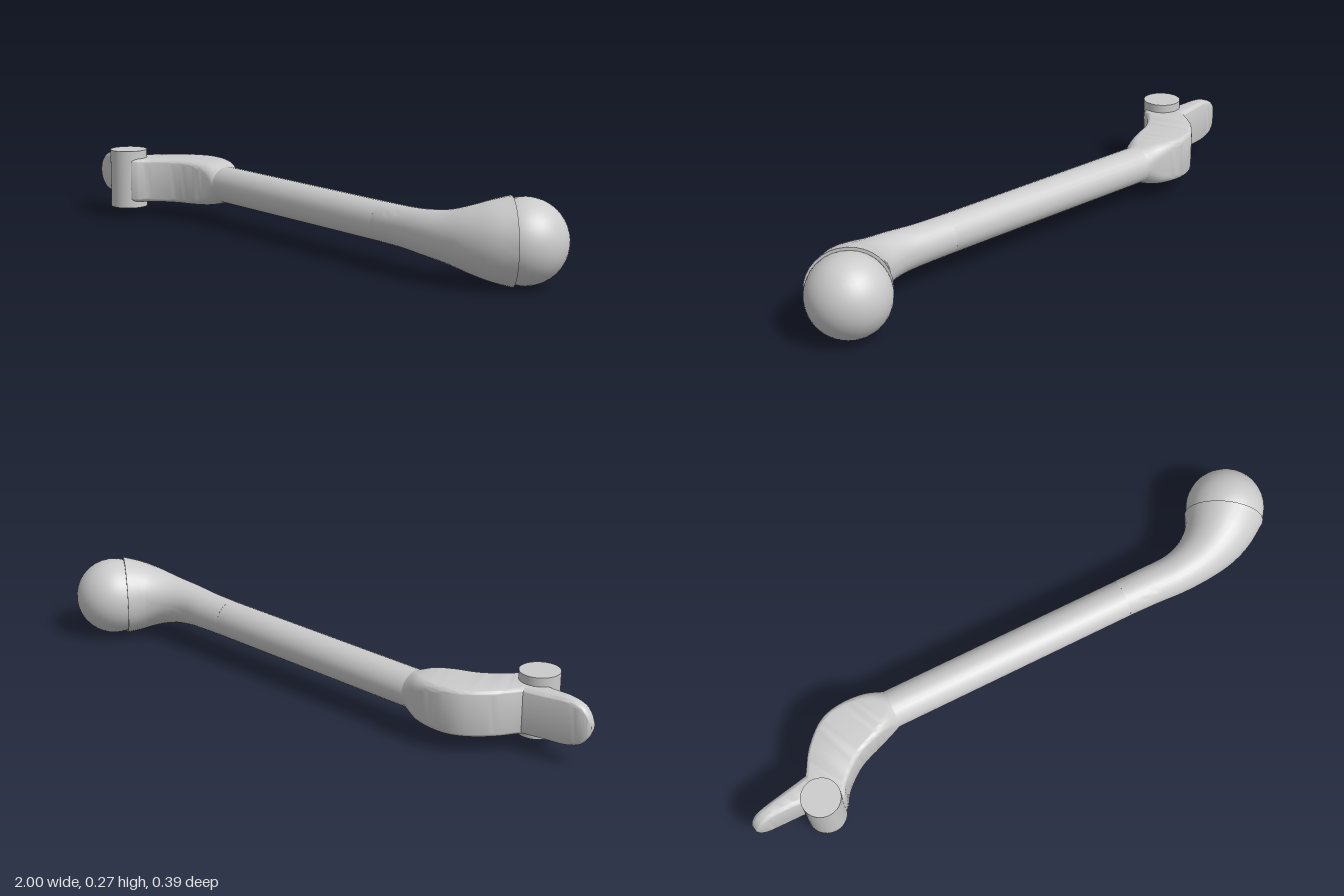
import * as THREE from 'three';
import { toCreasedNormals } from 'three/addons/utils/BufferGeometryUtils.js';

const MID = 0.135; // height of the lever's centre plane
const material = new THREE.MeshStandardMaterial({ color: 0xcccccc });

function addMesh(group, name, geometry) {
  const mesh = new THREE.Mesh(geometry, material);
  mesh.name = name;
  group.add(mesh);
  return mesh;
}

// Loft of rounded-rectangle sections along +x.
// Station: [back x, back z, front x, front z, half height, corner radius]
function loft(stations, steps, cornerSegments = 6) {
  const back = new THREE.CatmullRomCurve3(stations.map(s => new THREE.Vector3(s[0], s[4], s[1])));
  const front = new THREE.CatmullRomCurve3(stations.map(s => new THREE.Vector3(s[2], s[5], s[3])));
  const count = (stations.length - 1) * steps;
  const positions = [], index = [];
  const ring = 4 * (cornerSegments + 1);

  for (let i = 0; i <= count; i++) {
    const a = back.getPoint(i / count), b = front.getPoint(i / count);
    const h = a.y, width = Math.hypot(b.x - a.x, b.z - a.z) / 2;
    const r = Math.min(b.y, h, width);
    for (let corner = 0; corner < 4; corner++) {
      const sw = corner === 0 || corner === 3 ? 1 : -1;
      const sh = corner < 2 ? 1 : -1;
      for (let k = 0; k <= cornerSegments; k++) {
        const angle = (corner + k / cornerSegments) * Math.PI / 2;
        const u = (sw * (width - r) + r * Math.cos(angle)) / width;
        const y = sh * (h - r) + r * Math.sin(angle);
        positions.push((a.x + b.x) / 2 + u * (b.x - a.x) / 2, MID + y,
          (a.z + b.z) / 2 + u * (b.z - a.z) / 2);
      }
    }
  }
  for (let i = 0; i < count; i++) {
    for (let j = 0; j < ring; j++) {
      const p = i * ring + j, q = i * ring + (j + 1) % ring;
      index.push(p, p + ring, q, q, p + ring, q + ring);
    }
  }
  // End caps
  const last = count * ring;
  for (let j = 1; j < ring - 1; j++) {
    index.push(0, j, j + 1, last, last + j + 1, last + j);
  }
  const geometry = new THREE.BufferGeometry();
  geometry.setAttribute('position', new THREE.Float32BufferAttribute(positions, 3));
  geometry.setIndex(index);
  return toCreasedNormals(geometry, 0.6);
}

export function createModel() {
  const group = new THREE.Group();
  group.name = 'leverHandle';

  // Thin rounded tab at the pivot end
  addMesh(group, 'tab', loft([
    [-1.0, -0.062, -1.0, -0.04, 0.012, 0.008],
    [-0.99, -0.069, -0.99, -0.035, 0.037, 0.012],
    [-0.97, -0.072, -0.97, -0.031, 0.06, 0.014],
    [-0.925, -0.072, -0.925, -0.024, 0.0745, 0.016],
    [-0.85, -0.072, -0.85, -0.008, 0.0745, 0.016],
    [-0.75, -0.072, -0.75, 0.015, 0.0745, 0.016],
  ], 4));

  // Curved body blending from a block into the round rod
  addMesh(group, 'curvedBody', loft([
    [-0.80, -0.055, -0.77, 0.07, 0.075, 0.015],
    [-0.78, -0.072, -0.727, 0.06, 0.075, 0.015],
    [-0.717, -0.14, -0.69, 0.024, 0.075, 0.015],
    [-0.636, -0.19, -0.61, -0.02, 0.075, 0.016],
    [-0.567, -0.199, -0.53, -0.035, 0.075, 0.02],
    [-0.476, -0.184, -0.475, -0.04, 0.0725, 0.038],
    [-0.4175, -0.161, -0.4425, -0.039, 0.0625, 0.0625],
  ], 6));

  // Straight round rod
  addMesh(group, 'rod', loft([
    [-0.4175, -0.161, -0.4425, -0.039, 0.0625, 0.0625],
    [0.402, 0.004, 0.377, 0.126, 0.0625, 0.0625],
  ], 1));

  // Neck that bends back and flares into a cup for the knob
  addMesh(group, 'flaredNeck', loft([
    [0.402, 0.004, 0.377, 0.126, 0.0625, 0.0625],
    [0.50, 0.023, 0.473, 0.148, 0.064, 0.064],
    [0.59, 0.040, 0.57, 0.172, 0.07, 0.07],
    [0.65, 0.034, 0.67, 0.188, 0.08, 0.08],
    [0.70, 0.012, 0.76, 0.191, 0.1, 0.1],
    [0.727, -0.012, 0.85, 0.177, 0.12, 0.12],
    [0.749, -0.04, 0.93, 0.147, 0.134, 0.134],
  ], 5, 8));

  // Ball knob
  const knob = addMesh(group, 'ballKnob', new THREE.SphereGeometry(0.13, 40, 24));
  knob.rotation.z = Math.PI / 2;
  knob.position.set(0.868, MID, 0.027);

  // Upright pivot pin
  const pin = addMesh(group, 'pivotPin', new THREE.CylinderGeometry(0.0635, 0.0635, 0.2, 40));
  pin.position.set(-0.786, 0.138, 0.025);

  return group;
}
